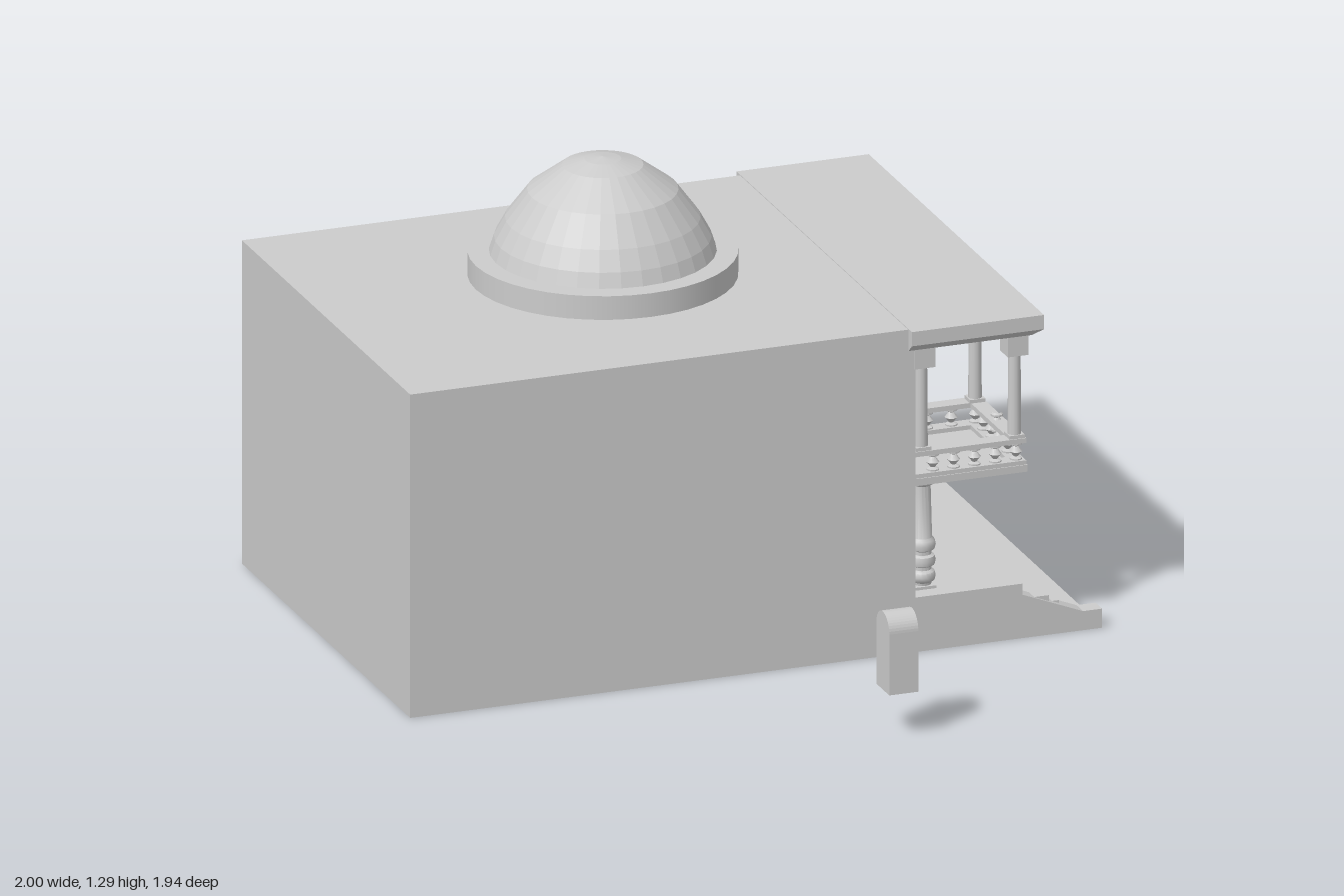
import * as THREE from 'three';
import { toCreasedNormals } from 'three/addons/utils/BufferGeometryUtils.js';

const grey = new THREE.MeshStandardMaterial({ color: 0xcccccc });
const faceted = new THREE.MeshStandardMaterial({ color: 0xcccccc, flatShading: true });
const Z0 = -0.945, Z1 = 0.345; // side limits of the building

export function createModel() {
  const root = new THREE.Group();

  const add = (name, geo, mat = grey, parent = root) => {
    const mesh = new THREE.Mesh(geo, mat);
    mesh.name = name;
    parent.add(mesh);
    return mesh;
  };
  // Box given by its limits on each axis
  const box = (x0, x1, y0, y1, z0, z1) =>
    new THREE.BoxGeometry(x1 - x0, y1 - y0, z1 - z0)
      .translate((x0 + x1) / 2, (y0 + y1) / 2, (z0 + z1) / 2);
  const lathe = (pts, seg) =>
    toCreasedNormals(new THREE.LatheGeometry(pts.map(p => new THREE.Vector2(...p)), seg), 0.75);
  const polygon = pts => new THREE.Shape(pts.map(p => new THREE.Vector2(...p)));
  const extrude = (shape, depth) =>
    new THREE.ExtrudeGeometry(shape, { depth, bevelEnabled: false, curveSegments: 10 });

  // Main block
  add('building', box(-1, 0.46, 0, 0.932, Z0, Z1));

  // Dome on its floating drum
  const drum = add('domeRing', new THREE.CylinderGeometry(0.367, 0.367, 0.068, 40));
  drum.position.set(-0.2, 0.99, -0.3);
  const dome = add('dome', new THREE.LatheGeometry(
    [[0.31, 1.02], [0.295, 1.065], [0.265, 1.12], [0.205, 1.2], [0.11, 1.27], [0.05, 1.287], [0, 1.293]]
      .map(p => new THREE.Vector2(...p)), 32), faceted);
  dome.position.set(-0.2, 0, -0.3);

  // Porch roof: flat slab over a tapered underside
  add('porchRoof', box(0.44, 0.822, 0.893, 0.934, -0.972, 0.372));
  const taper = new THREE.BoxGeometry(0.382, 0.022, 1.344);
  const tp = taper.attributes.position;
  for (let i = 0; i < tp.count; i++) {
    if (tp.getY(i) > 0) continue;
    if (tp.getX(i) > 0) tp.setX(i, tp.getX(i) - 0.025);
    tp.setZ(i, tp.getZ(i) - Math.sign(tp.getZ(i)) * 0.025);
  }
  taper.computeVertexNormals();
  add('porchRoofUnderside', taper).position.set(0.631, 0.882, -0.3);

  // Porch floor, steps and side walls
  add('porchFloor', box(0.44, 0.85, 0, 0.11, Z0 + 0.01, Z1 - 0.01));
  for (let i = 0; i < 4; i++) {
    add('step', box(0.84, 0.883 + i * 0.034, 0, 0.088 - i * 0.022, Z0 + 0.02, Z1 - 0.02));
  }
  const cheek = polygon([[0.445, 0], [1, 0], [1, 0.055], [0.945, 0.055],
    [0.77, 0.125], [0.77, 0.157], [0.445, 0.157]]);
  for (const z of [Z0, Z1 - 0.05]) {
    add('stairSideWall', extrude(cheek, 0.05)).position.z = z;
  }

  // Lower turned columns on square feet
  const columnGeo = lathe([
    [0.024, 0.16], [0.026, 0.172], [0.034, 0.178], [0.037, 0.19], [0.034, 0.202], [0.025, 0.208],
    [0.025, 0.217], [0.034, 0.222], [0.037, 0.235], [0.034, 0.247], [0.025, 0.252],
    [0.025, 0.262], [0.034, 0.267], [0.037, 0.28], [0.034, 0.293], [0.027, 0.3],
    [0.023, 0.45], [0.032, 0.455], [0.036, 0.466], [0.032, 0.477], [0.026, 0.482]], 16);
  for (const z of [0.265, 0.045, -0.18, -0.44, -0.665, -0.845]) {
    const column = new THREE.Group();
    column.name = 'lowerColumn';
    column.position.set(0.51, 0, z);
    add('columnFoot', box(-0.03, 0.03, 0.11, 0.165, -0.03, 0.03), grey, column);
    add('columnShaft', columnGeo, grey, column);
    root.add(column);
  }

  // Balcony: two deep end bays joined by a narrow middle
  const outline = [[0.46, Z1], [0.785, Z1], [0.785, -0.015], [0.575, -0.015],
    [0.575, -0.595], [0.785, -0.595], [0.785, Z0], [0.46, Z0]];
  add('balconyFloor', extrude(polygon(outline), 0.02).rotateX(Math.PI / 2)).position.y = 0.498;

  // Railing follows the balcony edge, set in slightly
  const balusterGeo = lathe([
    [0.012, 0.505], [0.017, 0.509], [0.017, 0.514], [0.007, 0.519], [0.012, 0.526], [0.018, 0.533],
    [0.012, 0.541], [0.007, 0.548], [0.017, 0.553], [0.017, 0.558], [0.012, 0.563]], 10);
  const line = [[0.46, 0.32], [0.76, 0.32], [0.76, 0.01], [0.55, 0.01],
    [0.55, -0.62], [0.76, -0.62], [0.76, -0.92], [0.46, -0.92]];
  for (let i = 0; i < line.length - 1; i++) {
    const [ax, az] = line[i], [bx, bz] = line[i + 1];
    const x0 = Math.min(ax, bx), x1 = Math.max(ax, bx);
    const z0 = Math.min(az, bz), z1 = Math.max(az, bz);
    const w = 0.022;
    const startX = x0 < 0.47 ? x0 : x0 - w;
    add('bottomRail', box(startX, x1 + w, 0.497, 0.51, z0 - w, z1 + w));
    add('topRail', box(startX, x1 + w, 0.56, 0.574, z0 - w, z1 + w));
    const n = Math.round(Math.hypot(bx - ax, bz - az) / 0.062);
    for (let k = 1; k <= n; k++) {
      add('baluster', balusterGeo).position.set(
        ax + (bx - ax) * k / n, 0, az + (bz - az) * k / n);
    }
  }
  // One loose baluster sits higher than the rest
  add('raisedBaluster', balusterGeo).position.set(0.76, 0.032, 0.175);

  // Slim upper columns with block capitals
  const upper = [[0.757, 0.317], [0.757, 0.015], [0.757, -0.625], [0.757, -0.915],
    [0.487, 0.317], [0.487, -0.915]];
  for (const [x, z] of upper) {
    const column = new THREE.Group();
    column.name = 'upperColumn';
    column.position.set(x, 0, z);
    add('upperShaft', new THREE.CylinderGeometry(0.017, 0.019, 0.27, 12)
      .translate(0, 0.7, 0), grey, column);
    add('upperFoot', box(-0.022, 0.022, 0.574, 0.584, -0.022, 0.022), grey, column);
    add('upperCapital', box(-0.03, 0.03, 0.815, 0.876, -0.03, 0.03), grey, column);
    root.add(column);
  }

  // Pair of open door leaves, each half an arch
  const leaf = new THREE.Shape();
  leaf.moveTo(0, 0);
  leaf.lineTo(0.06, 0);
  leaf.lineTo(0.06, 0.228);
  leaf.quadraticCurveTo(0.012, 0.222, 0, 0.165);
  leaf.closePath();
  for (const s of [1, -1]) {
    const door = add('doorLeaf', extrude(leaf, 0.01).translate(0, 0, -0.005));
    door.position.set(0.45, 0.108, -0.306 + s * 0.064);
    door.rotation.y = -s * 0.15;
  }

  // Free-standing arched block beside the building
  const arch = new THREE.Shape();
  arch.moveTo(-0.05, 0.13);
  arch.lineTo(0.05, 0.13);
  arch.lineTo(0.05, 0.305);
  arch.absarc(0, 0.305, 0.05, 0, Math.PI);
  arch.closePath();
  add('archedBlock', extrude(arch, 0.084).rotateY(Math.PI / 2)).position.set(0.15, 0, 0.918);

  return root;
}
